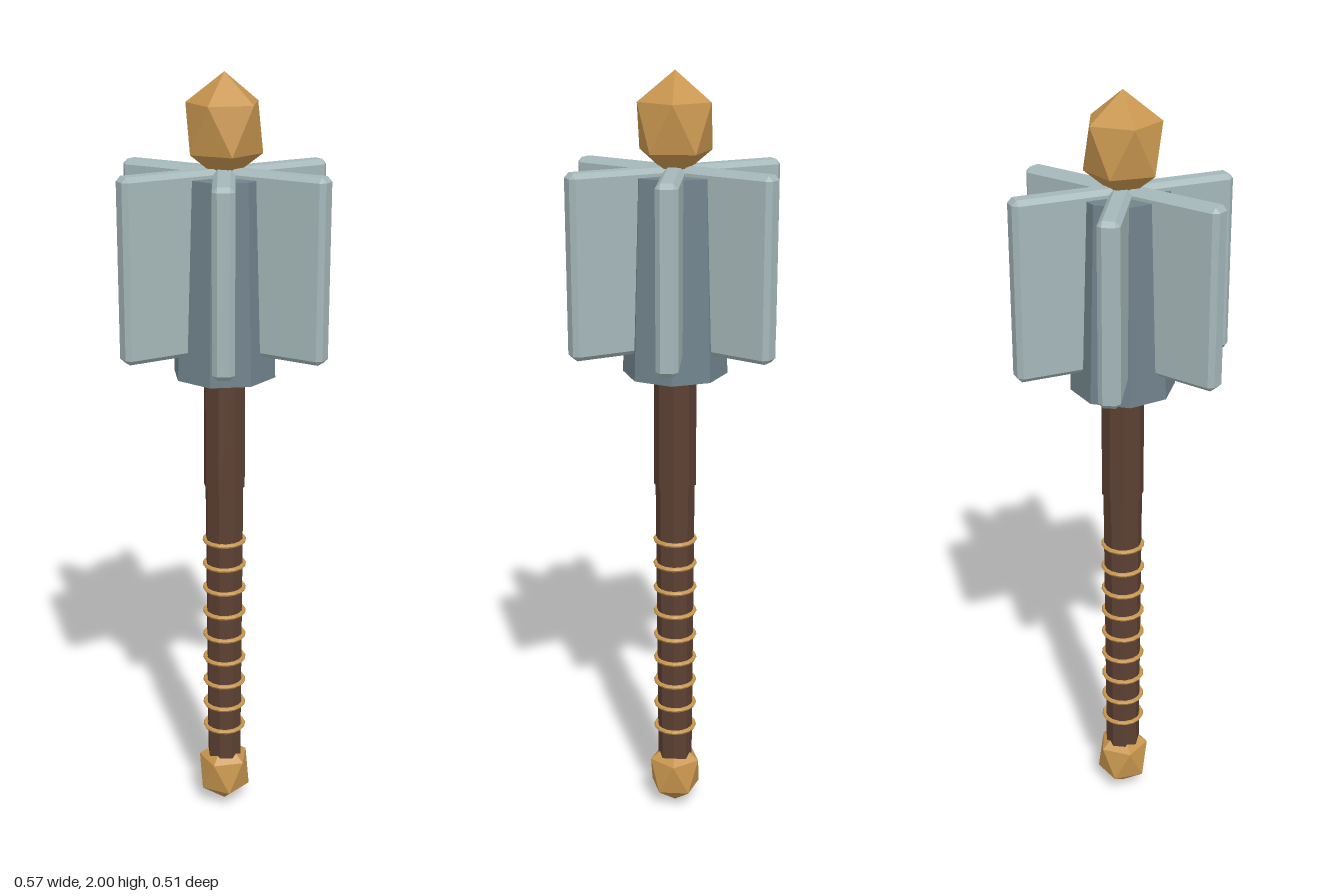
import * as THREE from 'three';
import { ConvexGeometry } from 'three/addons/geometries/ConvexGeometry.js';

const mat = (color) => new THREE.MeshStandardMaterial({ color, flatShading: true });

// Box with every edge chamfered by c
function chamferBox(w, h, d, c) {
  const pts = [];
  for (const sx of [-1, 1]) for (const sy of [-1, 1]) for (const sz of [-1, 1]) {
    const [x, y, z] = [w / 2, h / 2, d / 2];
    pts.push(
      new THREE.Vector3(sx * x, sy * (y - c), sz * (z - c)),
      new THREE.Vector3(sx * (x - c), sy * y, sz * (z - c)),
      new THREE.Vector3(sx * (x - c), sy * (y - c), sz * z)
    );
  }
  return new ConvexGeometry(pts);
}

// Icosahedron standing on a vertex, stretched upward
function gem(radius) {
  const t = (1 + Math.sqrt(5)) / 2;
  return new THREE.IcosahedronGeometry(radius, 0).rotateZ(-Math.atan(1 / t)).scale(1, 1.25, 1);
}

export function createModel() {
  const group = new THREE.Group();
  const wood = mat(0x5c4033);
  const gold = mat(0xc8964f);
  const steel = mat(0x71838c);
  const paleSteel = mat(0xa5b7b9);

  const add = (name, geometry, material, y, parent = group) => {
    const mesh = new THREE.Mesh(geometry, material);
    mesh.name = name;
    mesh.position.y = y;
    parent.add(mesh);
    return mesh;
  };
  const column = (name, rTop, rBottom, y0, y1, material) =>
    add(name, new THREE.CylinderGeometry(rTop, rBottom, y1 - y0, 8), material, (y0 + y1) / 2);

  // Handle
  add('pommel', gem(0.077), gold, 0.096);
  column('grip', 0.051, 0.046, 0.12, 0.95, wood);
  column('shaft', 0.054, 0.055, 0.95, 1.3, wood);

  // Thin rings around the grip
  const rings = new THREE.Group();
  rings.name = 'gripRings';
  group.add(rings);
  for (let i = 0; i < 9; i++) {
    const ring = new THREE.TorusGeometry(0.052, 0.006, 6, 16).rotateX(Math.PI / 2);
    add('gripRing', ring, gold, 0.241 + i * 0.0695, rings);
  }

  // Head: tapered core with six radial blades
  column('headCore', 0.115, 0.133, 1.255, 1.755, steel);
  const blades = new THREE.Group();
  blades.name = 'blades';
  group.add(blades);
  const bladeGeometry = chamferBox(0.264, 0.455, 0.054, 0.012).translate(0.152, 0, 0);
  for (let i = 0; i < 6; i++) {
    add('blade', bladeGeometry, paleSteel, 1.5475, blades).rotation.y = (i * Math.PI) / 3;
  }

  // Finial
  add('finial', gem(0.105), gold, 1.869);
  return group;
}
